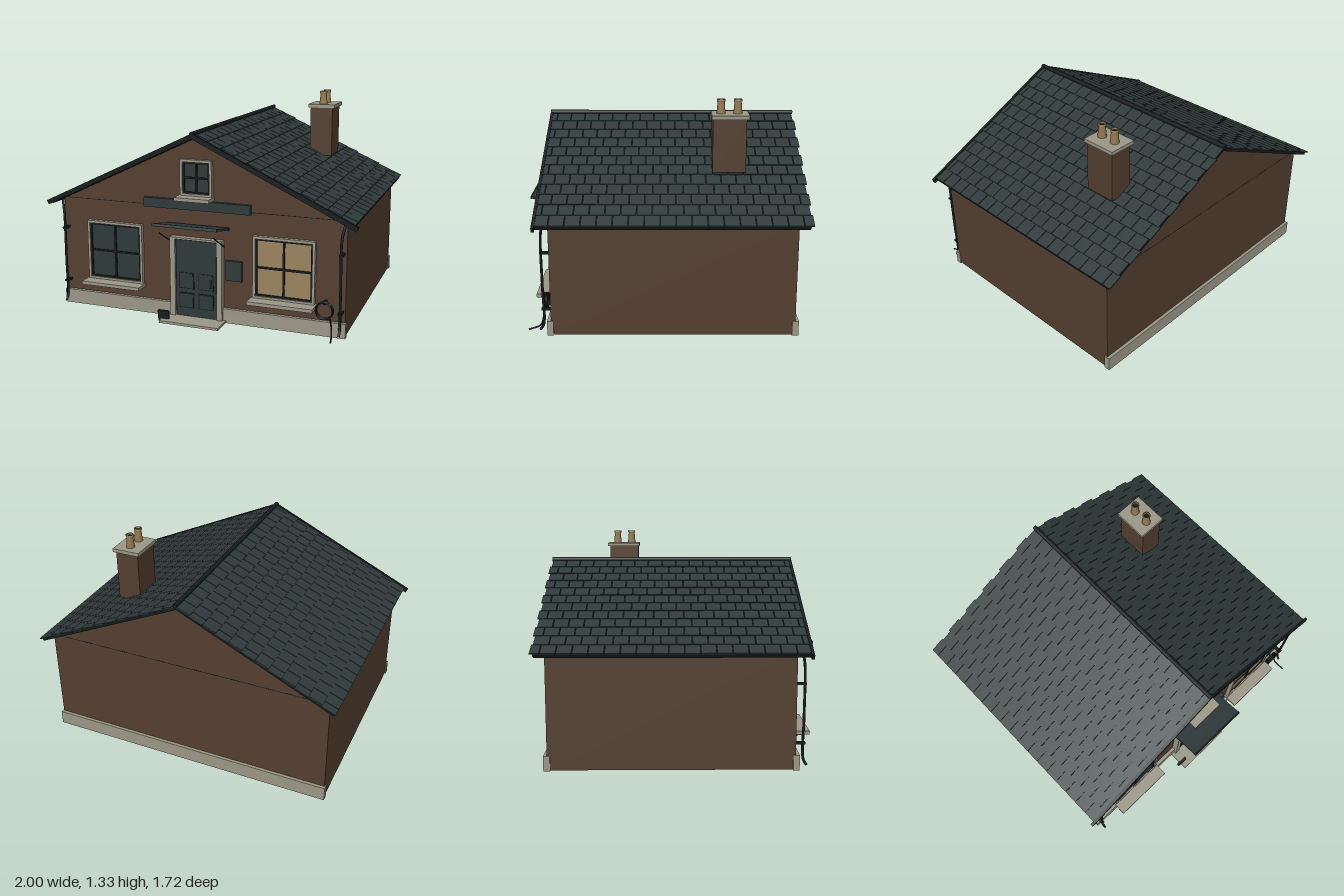
import * as THREE from 'three';
import { mergeGeometries } from 'three/addons/utils/BufferGeometryUtils.js';

const mat = (name, color) => {
  const m = new THREE.MeshStandardMaterial({ color });
  m.name = name;
  return m;
};

export function createModel() {
  const brick = mat('brown brick', 0x543f30);
  const stone = mat('pale stone', 0x9c9888);
  const slate = mat('slate', 0x2f3a3a);
  const black = mat('black iron', 0x161b1c);
  const glow = mat('lit glass', 0x9a8460);
  const clay = mat('clay', 0x95794f);
  const brass = mat('dull metal', 0x4a4f4c);

  const house = new THREE.Group();
  house.name = 'house';

  const add = (name, geo, material, parent = house) => {
    const mesh = new THREE.Mesh(geo, material);
    mesh.name = name;
    parent.add(mesh);
    return mesh;
  };
  // Box given by its limits on each axis
  const box = (name, m, x0, x1, y0, y1, z0, z1, parent = house) => {
    const b = add(name, new THREE.BoxGeometry(x1 - x0, y1 - y0, z1 - z0), m, parent);
    b.position.set((x0 + x1) / 2, (y0 + y1) / 2, (z0 + z1) / 2);
    return b;
  };
  const tube = (name, m, pts, r, segs = 24) => {
    const curve = new THREE.CatmullRomCurve3(pts.map(p => new THREE.Vector3(...p)), false, 'centripetal');
    return add(name, new THREE.TubeGeometry(curve, segs, r, 8), m);
  };

  // Walls, gables and plinths
  box('walls', brick, -0.92, 0.92, 0.004, 0.7, -0.78, 0.65);
  const tri = new THREE.Shape([
    new THREE.Vector2(-0.92, 0.7), new THREE.Vector2(0.92, 0.7), new THREE.Vector2(0, 1.132)]);
  const gable = add('gables', new THREE.ExtrudeGeometry(tri, { depth: 1.436, bevelEnabled: false }), brick);
  gable.position.z = -0.783;
  for (const z of [-0.7815, 0.6515]) box('gableJoint', black, -0.92, 0.92, 0.697, 0.701, z - 0.002, z + 0.002);
  box('frontPlinth', stone, -0.927, 0.927, 0, 0.09, 0.635, 0.672);
  box('backPlinth', stone, -0.927, 0.927, 0, 0.09, -0.8, -0.762);

  // Roof: dark deck with staggered slate courses on each slope
  const pitch = Math.atan(0.474), slope = 1.07, rows = 12, tileW = 0.09;
  const course = slope / rows;
  for (const s of [-1, 1]) {
    const side = new THREE.Group();
    side.name = s < 0 ? 'rightRoof' : 'leftRoof';
    side.position.y = 1.145;
    side.rotation.z = -s * pitch;
    house.add(side);
    const span = (a, b) => (s > 0 ? [a, b] : [-b, -a]);
    box('roofDeck', black, ...span(0, slope - 0.004), -0.018, 0.001, -0.84, 0.722, side);

    const tiles = [];
    for (let r = 0; r < rows; r++) {
      const odd = r % 2;
      const back = odd ? -0.856 : -0.845;
      for (let z = -0.845 - odd * tileW / 2; z < 0.715; z += tileW) {
        const z0 = Math.max(z, back) + (z <= back ? 0 : 0.002);
        const z1 = Math.min(z + tileW, 0.722) - 0.002;
        if (z1 - z0 < 0.01) continue;
        const g = new THREE.BoxGeometry(course + 0.008, 0.007, z1 - z0);
        g.rotateZ(-s * -0.05);
        g.translate(s * (r + 0.5) * course, 0.005, (z0 + z1) / 2);
        tiles.push(g);
      }
    }
    add('roofTiles', mergeGeometries(tiles), slate, side);
    box('bargeBoard', black, ...span(0, 1.099), -0.016, 0.013, 0.715, 0.733, side);
    box('eavesGutter', black, ...span(slope - 0.018, slope + 0.004), -0.02, 0.004, -0.835, 0.722, side);
  }
  const ridge = add('ridge', new THREE.CylinderGeometry(0.014, 0.014, 1.585, 10), black);
  ridge.rotation.x = Math.PI / 2;
  ridge.position.set(0, 1.156, -0.06);

  // Chimney with two open pots
  box('chimneyStack', brick, 0.435, 0.585, 0.9, 1.225, -0.5, -0.3);
  box('chimneyCap', stone, 0.42, 0.6, 1.222, 1.245, -0.515, -0.293);
  const potProfile = [[0.027, 0], [0.021, 0.07], [0.025, 0.072], [0.025, 0.085], [0.016, 0.085], [0.016, 0.06]]
    .map(p => new THREE.Vector2(...p));
  for (const z of [-0.45, -0.35]) {
    add('chimneyPot', new THREE.LatheGeometry(potProfile, 16), clay).position.set(0.51, 1.245, z);
    const flue = add('flue', new THREE.CircleGeometry(0.017, 16), black);
    flue.rotation.x = -Math.PI / 2;
    flue.position.set(0.51, 1.32, z);
  }

  // Window: stone surround, dark sash, panes, glazing bars and sill
  const makeWindow = (name, cx, y0, y1, w, pane, sillZ) => {
    const g = new THREE.Group();
    g.name = name;
    house.add(g);
    const h = w / 2, f = 0.016;
    const ring = (part, m, hw, b, t, k, z, d) => {
      box(part, m, cx - hw, cx - hw + k, b, t, z, z + d, g);
      box(part, m, cx + hw - k, cx + hw, b, t, z, z + d, g);
      box(part, m, cx - hw + k, cx + hw - k, t - k, t, z, z + d, g);
      box(part, m, cx - hw + k, cx + hw - k, b, b + k, z, z + d, g);
    };
    ring('surround', stone, h, y0, y1, f, 0.645, 0.032);
    ring('sash', black, h - f, y0 + f, y1 - f, 0.01, 0.645, 0.024);
    box('glass', pane, cx - h + f, cx + h - f, y0 + f, y1 - f, 0.652, 0.66, g);
    const cy = (y0 + y1) / 2;
    box('verticalBar', black, cx - 0.006, cx + 0.006, y0 + f, y1 - f, 0.655, 0.669, g);
    box('horizontalBar', black, cx - h + f, cx + h - f, cy - 0.006, cy + 0.006, 0.655, 0.668, g);
    box('sill', stone, cx - h - 0.01, cx + h + 0.01, y0 - 0.018, y0 + 0.003, 0.645, sillZ, g);
  };
  makeWindow('rightWindow', -0.555, 0.182, 0.565, 0.38, slate, 0.755);
  makeWindow('leftWindow', 0.55, 0.182, 0.565, 0.38, glow, 0.755);
  makeWindow('atticWindow', 0, 0.772, 0.995, 0.204, slate, 0.748);

  // Door, surround and step
  for (const s of [-1, 1]) box('doorJamb', stone, s * 0.153 - 0.017, s * 0.153 + 0.017, 0.01, 0.515, 0.645, 0.69);
  box('doorLintel', stone, -0.136, 0.136, 0.503, 0.515, 0.645, 0.69);
  box('doorFrame', black, -0.137, 0.137, 0.012, 0.504, 0.645, 0.674);
  box('door', slate, -0.13, 0.13, 0.015, 0.498, 0.66, 0.678);
  for (const s of [-1, 1]) {
    for (const [b, t] of [[0.068, 0.168], [0.192, 0.292]]) {
      const x = s * 0.064;
      box('panelRecess', black, x - 0.05, x + 0.05, b, t, 0.67, 0.68);
      box('doorPanel', slate, x - 0.043, x + 0.043, b + 0.007, t + (b > 0.1 ? 0.002 : -0.007), 0.67, 0.684);
    }
  }
  box('doorHandle', brass, 0.092, 0.102, 0.215, 0.265, 0.675, 0.7);
  box('doorStep', stone, -0.195, 0.19, 0, 0.015, 0.66, 0.81);
  box('bootScraper', black, -0.22, -0.148, 0.012, 0.066, 0.755, 0.77);
  for (const x of [-0.212, -0.156]) box('scraperLeg', black, x - 0.005, x + 0.005, 0, 0.02, 0.757, 0.768);

  // Canopy tilted up away from the wall, held by two rods
  const canopy = add('canopy', new THREE.BoxGeometry(0.41, 0.014, 0.212), slate);
  canopy.position.set(0, 0.607, 0.755);
  canopy.rotation.x = -0.215;
  const rim = add('canopyRim', new THREE.BoxGeometry(0.412, 0.018, 0.01), black);
  rim.position.set(0, 0.627, 0.853);
  rim.rotation.x = -0.215;
  box('canopyWallRail', black, -0.205, 0.205, 0.578, 0.594, 0.648, 0.668);
  for (const x of [-0.172, 0.172])
    tube('canopyRod', black, [[x, 0.475, 0.655], [x, 0.577, 0.835]], 0.004, 1);

  // Blank boards on the wall
  box('fasciaBoard', slate, -0.345, 0.345, 0.688, 0.746, 0.65, 0.68);
  box('wallPlaque', slate, 0.187, 0.29, 0.27, 0.393, 0.65, 0.67);

  // Downpipes with swan necks and shoes
  for (const s of [-1, 1]) {
    tube('downpipe', black, [
      [s * 0.912, 0.7, 0.675], [s * 0.91, 0.665, 0.684], [s * 0.898, 0.6, 0.695],
      [s * 0.898, 0.3, 0.695], [s * 0.898, 0.06, 0.695], [s * 0.898, 0.025, 0.715]], 0.008, 40);
    for (const y of [0.15, 0.5]) box('pipeBracket', black, s * 0.898 - 0.012, s * 0.898 + 0.012, y, y + 0.012, 0.65, 0.705);
  }

  // Coiled hose with a trailing end
  for (const z of [0.68, 0.69, 0.7])
    add('hoseCoil', new THREE.TorusGeometry(0.05, 0.005, 8, 32), black).position.set(0.805, 0.165, z);
  box('hoseHook', black, 0.797, 0.813, 0.207, 0.217, 0.65, 0.707);
  tube('hoseEnd', black, [
    [0.84, 0.13, 0.7], [0.85, 0.08, 0.703], [0.857, 0.035, 0.72], [0.868, 0.01, 0.79]], 0.005);

  return house;
}
